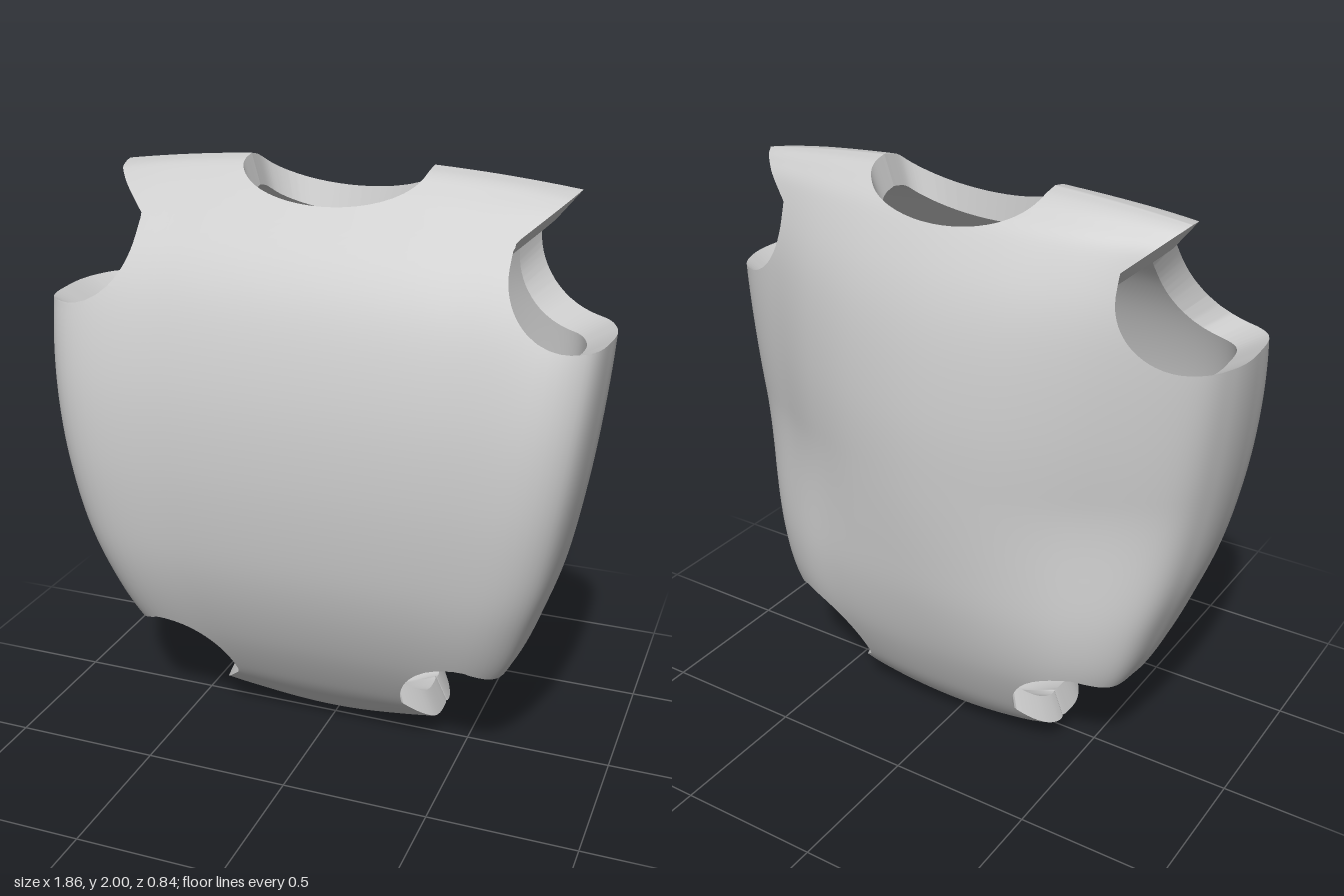
import * as THREE from 'three';
import { mergeVertices } from 'three/addons/utils/BufferGeometryUtils.js';

const COLS = 160, ROWS = 112, INNER = 0.9;
const { lerp, smoothstep } = THREE.MathUtils;

// Stations up the body: height, half width, front depth, back depth
const STATIONS = [
  [0, 0.41, -0.06, -0.06], [0.05, 0.45, 0.04, -0.125], [0.11, 0.49, 0.1, -0.185],
  [0.22, 0.56, 0.185, -0.255], [0.4, 0.675, 0.285, -0.33], [0.6, 0.755, 0.36, -0.38],
  [0.8, 0.82, 0.4, -0.403], [1.05, 0.872, 0.415, -0.415], [1.3, 0.906, 0.395, -0.41],
  [1.54, 0.925, 0.335, -0.378], [1.72, 0.925, 0.25, -0.325], [1.88, 0.88, 0.125, -0.24],
  [1.95, 0.84, 0.06, -0.17], [1.985, 0.82, 0.015, -0.115], [2, 0.8, -0.05, -0.05],
];
// Half cross-sections from breast centre round the side to the spine:
// arched back for the chest, flatter back for the waist
const FRONT = [[0, 1], [0.5, 1], [0.83, 0.995], [0.95, 0.86], [1, 0.4]];
const CHEST = [...FRONT, [0.985, -0.02], [0.91, -0.32], [0.68, -0.59], [0.48, -0.79], [0.25, -0.94], [0, -1]];
const WAIST = [...FRONT, [1, -0.1], [0.94, -0.58], [0.72, -0.86], [0.48, -0.95], [0.25, -0.99], [0, -1]];

const V = (x, y, z) => new THREE.Vector3(x, y, z);

// Positive where an opening removes the shell
function opening(px, y) {
  const x = Math.abs(px);
  // neck scoop
  const neck = (1 - Math.hypot(x / 0.31, (y - 2) / 0.12)) * 0.12;
  // arm hole: rounded lower inner corner, slanted shoulder end
  const ax = Math.abs(px - 0.012);
  const arm = Math.min(
    0.225 - Math.hypot(Math.max(0, 0.84 - ax), Math.max(0, 1.77 - y)),
    (ax - 0.61) * 0.655 - (y - 1.82) * 0.756);
  // leg hole: circle trimmed by two straight ends
  const leg = Math.min(
    0.235 - Math.hypot(x - 0.54, y - 0.2),
    (x - 0.4 + y - 0.1) * 0.707,
    -(x - 0.67) * 0.385 - (y - 0.385) * 0.923);
  return Math.max(neck, arm, leg);
}

// Closed unit ring from a half cross-section
function closedSection(half) {
  const ring = [...half.map(([x, z]) => V(-x, 0, z)),
    ...half.slice(1, -1).reverse().map(([x, z]) => V(x, 0, z))];
  const points = new THREE.CatmullRomCurve3(ring, true).getSpacedPoints(COLS);
  points[COLS].copy(points[0]);
  return points;
}

// Grid of points over the uncut body
function bodyGrid() {
  const chest = closedSection(CHEST), waist = closedSection(WAIST);
  const depth = new THREE.CatmullRomCurve3(STATIONS.map(s => V(s[2], s[0], s[3])), false, 'catmullrom');
  const width = new THREE.CatmullRomCurve3(STATIONS.map(s => V(s[1], 0, 0)), false, 'catmullrom');
  const grid = [];
  for (let j = 0; j <= ROWS; j++) {
    const d = depth.getPoint(j / ROWS), w = width.getPoint(j / ROWS).x;
    const v = d.y / 2, mid = (d.x + d.z) / 2, half = (d.x - d.z) / 2;
    const chestness = smoothstep(v, 0.18, 0.55);
    // front and back columns meet in pairs along the hem and shoulder ridges
    const pairing = Math.max(1 - smoothstep(v, 0, 0.02), smoothstep(v, 0.98, 1));
    const hem = 0.62 * Math.max(0, 1 - v) ** 30, shoulder = 0.09 * v ** 25;
    grid.push(chest.map((c, i) => {
      const s = waist[i].clone().lerp(c, chestness);
      const x = w * lerp(s.x, -Math.sin(2 * Math.PI * (i % COLS) / COLS), pairing);
      return V(x, d.y + hem * x * x - shoulder * (x * x - 0.1), mid + half * s.z);
    }));
  }
  return grid;
}

const inward = p => V(p.x * INNER, 1 + (p.y - 1) * INNER, p.z * INNER);

function meshFrom(points, name) {
  let geo = new THREE.BufferGeometry().setFromPoints(points);
  geo = mergeVertices(geo, 1e-4);
  geo.computeVertexNormals();
  const mat = new THREE.MeshStandardMaterial({ color: 0xcccccc, side: THREE.DoubleSide });
  const mesh = new THREE.Mesh(geo, mat);
  mesh.name = name;
  return mesh;
}

export function createModel() {
  const grid = bodyGrid();
  const outer = [], inner = [], rim = [];

  // Keep the part of a triangle outside the openings; wall up each cut edge
  function addClipped(tri) {
    const g = tri.map(p => opening(p.x, p.y));
    const poly = [];
    let leave = null, enter = null;
    for (let i = 0; i < 3; i++) {
      const k = (i + 1) % 3;
      if (g[i] <= 0) poly.push(tri[i]);
      if ((g[i] <= 0) !== (g[k] <= 0)) {
        const p = tri[i].clone().lerp(tri[k], g[i] / (g[i] - g[k]));
        poly.push(p);
        if (g[i] <= 0) leave = p; else enter = p;
      }
    }
    for (let i = 1; i + 1 < poly.length; i++) {
      const t = [poly[0], poly[i], poly[i + 1]];
      outer.push(...t);
      inner.push(inward(t[0]), inward(t[2]), inward(t[1]));
    }
    if (leave) {
      const a = inward(leave), b = inward(enter);
      rim.push(enter, leave, a, enter, a, b);
    }
  }

  for (let j = 0; j < ROWS; j++) {
    for (let i = 0; i < COLS; i++) {
      const a = grid[j][i], b = grid[j][i + 1], c = grid[j + 1][i], d = grid[j + 1][i + 1];
      addClipped([a, c, b]);
      addClipped([b, c, d]);
    }
  }

  const group = new THREE.Group();
  group.name = 'torsoArmour';
  group.add(meshFrom(outer, 'outerShell'), meshFrom(inner, 'innerLining'), meshFrom(rim, 'openingRims'));
  return group;
}
